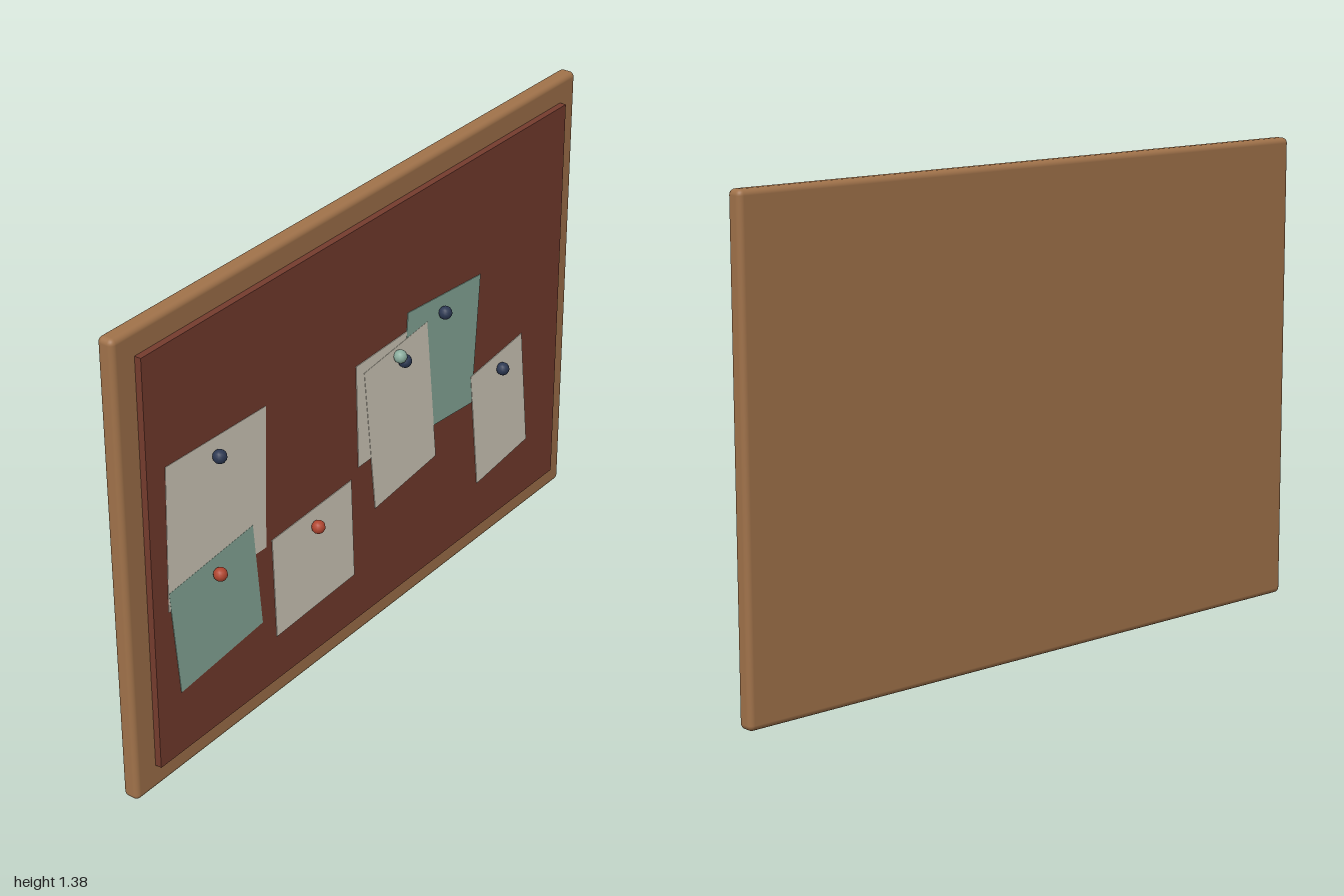
import * as THREE from 'three';
import { RoundedBoxGeometry } from 'three/addons/geometries/RoundedBoxGeometry.js';

const material = (name, color) => {
  const m = new THREE.MeshStandardMaterial({ color });
  m.name = name;
  return m;
};

export function createModel() {
  const group = new THREE.Group();
  group.name = 'noticeBoard';

  const wood = material('wood', 0xa0724a);
  const felt = material('brownFelt', 0x753c2e);
  const cream = material('creamPaper', 0xd6cfbf);
  const teal = material('tealPaper', 0x8aac9d);
  const red = material('redPin', 0xb0452f);
  const navy = material('navyPin', 0x2c3852);

  const add = (name, geometry, mat, x, y, z, turn = 0) => {
    const mesh = new THREE.Mesh(geometry, mat);
    mesh.name = name;
    mesh.position.set(x, y, z);
    mesh.rotation.z = turn;
    group.add(mesh);
  };

  // Rounded wooden backing, whose rim shows as the frame
  add('frame', new RoundedBoxGeometry(2, 1.375, 0.05, 3, 0.016), wood, 0, 0.6875, -0.0275);

  // Raised pinning surface
  add('pinningSurface', new THREE.BoxGeometry(1.846, 1.228, 0.03), felt, 0, 0.689, 0.002);

  // Notes from the lowest layer up: x, y, width, height, turn, paper, pin x, pin y, pin colour
  const notes = [
    [-0.663, 0.746, 0.395, 0.428, -0.027, cream, -0.666, 0.91, navy],
    [-0.678, 0.445, 0.339, 0.328, 0.095, teal, -0.679, 0.56, red],
    [-0.267, 0.384, 0.348, 0.318, 0.04, cream, -0.267, 0.491, red],
    [0.11, 0.741, 0.364, 0.321, 0.03, cream, 0.104, 0.852, teal],
    [0.316, 0.743, 0.348, 0.406, -0.075, teal, 0.315, 0.896, navy],
    [0.128, 0.648, 0.291, 0.46, 0.11, cream, 0.126, 0.828, navy],
    [0.618, 0.44, 0.26, 0.384, 0.115, cream, 0.612, 0.582, navy],
  ];
  const pinHead = new THREE.SphereGeometry(0.0195, 12, 8);
  notes.forEach(([x, y, w, h, turn, paper, pinX, pinY, pin], i) => {
    add(`note${i + 1}`, new THREE.BoxGeometry(w, h, 0.002), paper, x, y, 0.0172 + i * 0.0005, turn);
    add(`pin${i + 1}`, pinHead, pin, pinX, pinY, 0.034);
  });

  return group;
}
